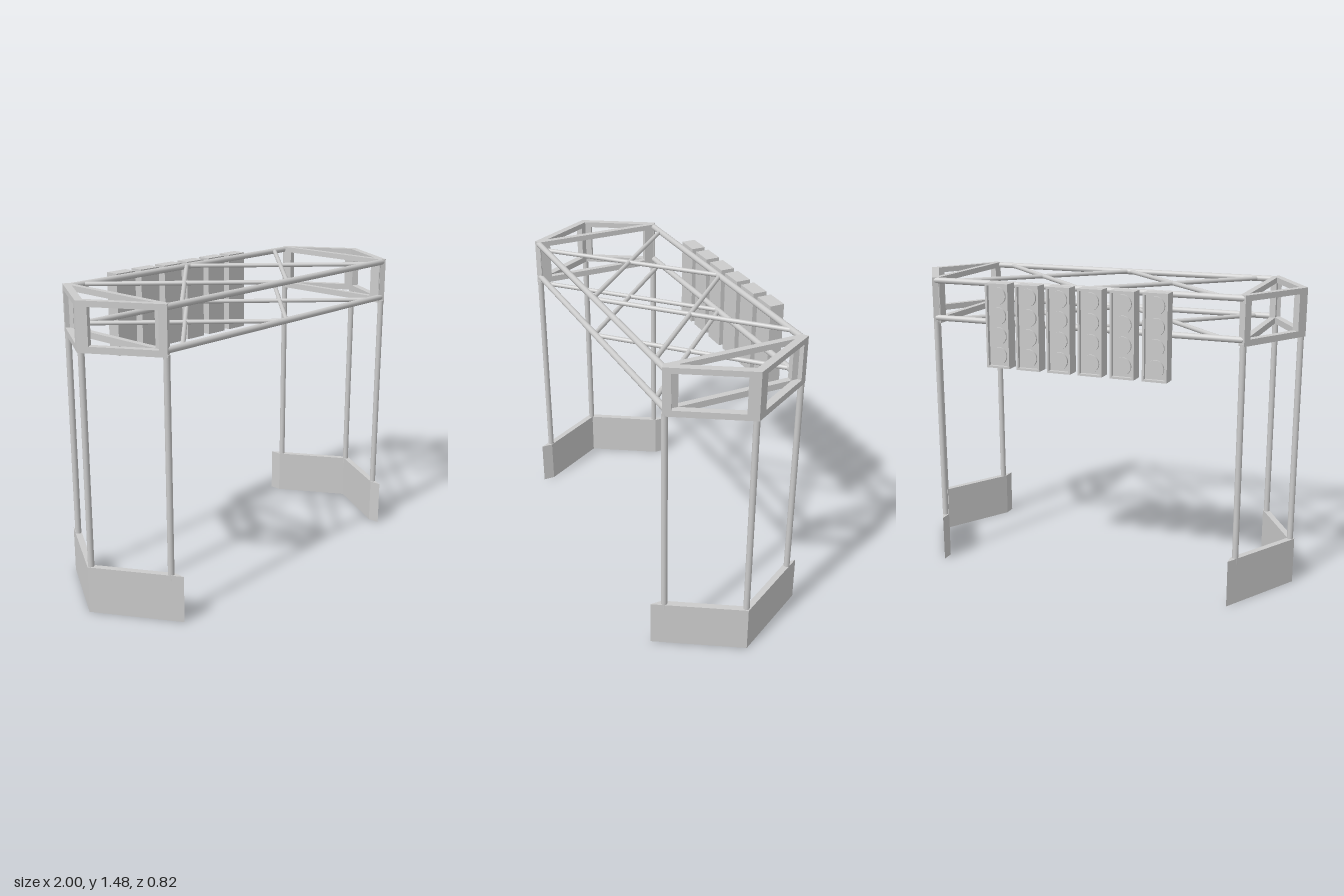
import * as THREE from 'three';

const grey = new THREE.MeshStandardMaterial({ color: 0xcccccc });

function add(parent, name, geometry) {
  const mesh = new THREE.Mesh(geometry, grey);
  mesh.name = name;
  parent.add(mesh);
  return mesh;
}

// Round bar between two points
function bar(parent, name, a, b, radius) {
  const from = new THREE.Vector3(...a), to = new THREE.Vector3(...b);
  const dir = to.clone().sub(from);
  const mesh = add(parent, name, new THREE.CylinderGeometry(radius, radius, dir.length(), 16));
  mesh.position.copy(from).add(to).multiplyScalar(0.5);
  mesh.quaternion.setFromUnitVectors(new THREE.Vector3(0, 1, 0), dir.normalize());
  return mesh;
}

function rectangle(Type, x0, y0, x1, y1) {
  return new Type([[x0, y0], [x1, y0], [x1, y1], [x0, y1]].map(p => new THREE.Vector2(...p)));
}

// Upright plate with a window; runs in plan from a to b, thickness goes inward
function windowPanel(parent, name, a, b, thickness, marginA, marginB) {
  const dx = b[0] - a[0], dz = b[1] - a[1], length = Math.hypot(dx, dz);
  const shape = rectangle(THREE.Shape, 0, 1.25, length, 1.48);
  shape.holes.push(rectangle(THREE.Path, marginA, 1.28, length - marginB, 1.453));
  const geometry = new THREE.ExtrudeGeometry(shape, { depth: thickness, bevelEnabled: false });
  geometry.translate(0, 0, -thickness);
  const mesh = add(parent, name, geometry);
  mesh.position.set(a[0], 0, a[1]);
  mesh.rotation.y = Math.atan2(-dz, dx);
}

// One end of the gantry: V-shaped base, three poles and a triangular head frame
function endTower() {
  const tower = new THREE.Group();
  const plan = [[1, 0], [0.765, 0.395], [0.765, 0.335], [0.965, 0], [0.765, -0.335], [0.765, -0.395]];
  const base = new THREE.ExtrudeGeometry(
    new THREE.Shape(plan.map(p => new THREE.Vector2(...p))), { depth: 0.23, bevelEnabled: false });
  base.rotateX(-Math.PI / 2);
  add(tower, 'baseWall', base);

  for (const [x, z] of [[0.785, 0.333], [0.785, -0.333], [0.978, 0]])
    bar(tower, 'pole', [x, 0.2, z], [x, 1.26, z], 0.015);

  windowPanel(tower, 'frontHeadPanel', [0.793, 0.348], [1, 0], 0.035, 0.038, 0.052);
  windowPanel(tower, 'backHeadPanel', [1, 0], [0.793, -0.348], 0.035, 0.052, 0.038);
  windowPanel(tower, 'innerHeadPanel', [0.795, 0.333], [0.795, -0.333], 0.03, 0.058, 0.058);
  return tower;
}

// Box lamp housing with a rim and four round lamps facing the back
function lampUnit() {
  const unit = new THREE.Group();
  unit.name = 'lampUnit';
  const w = 0.12, h = 0.41;
  add(unit, 'housing', new THREE.BoxGeometry(w, h, 0.052)).position.z = -0.026;
  const shape = rectangle(THREE.Shape, -w / 2, -h / 2, w / 2, h / 2);
  shape.holes.push(rectangle(THREE.Path, -w / 2 + 0.01, -h / 2 + 0.01, w / 2 - 0.01, h / 2 - 0.01));
  add(unit, 'rim', new THREE.ExtrudeGeometry(shape, { depth: 0.02, bevelEnabled: false })).position.z = -0.071;
  for (let i = 0; i < 4; i++) {
    const lamp = add(unit, 'lamp', new THREE.CylinderGeometry(0.042, 0.042, 0.012, 32));
    lamp.rotation.x = Math.PI / 2;
    lamp.position.set(0, (i - 1.5) * 0.097, -0.056);
  }
  return unit;
}

export function createModel() {
  const model = new THREE.Group();
  model.name = 'startGantry';
  const gantry = new THREE.Group();
  gantry.name = 'gantry';
  gantry.position.z = 0.015;
  model.add(gantry);

  const left = endTower(), right = endTower();
  left.name = 'leftTower';
  right.name = 'rightTower';
  right.rotation.y = Math.PI;
  gantry.add(left, right);

  // Long rails and crossed braces, upper and lower layer
  for (const y of [1.465, 1.278]) {
    for (const z of [0.33, -0.33])
      bar(gantry, 'rail', [-0.785, y, z], [0.785, y, z], 0.015);
    for (const x of [-0.347, 0.347])
      for (const s of [-1, 1])
        bar(gantry, 'brace', [x - 0.335, y, -s * 0.325], [x + 0.335, y, s * 0.325], 0.011);
  }

  // Row of lamp units behind the back rails
  for (let i = 0; i < 6; i++) {
    const unit = lampUnit();
    unit.position.set((i - 2.5) * 0.1595, 1.275, -0.354);
    gantry.add(unit);
  }
  return model;
}
